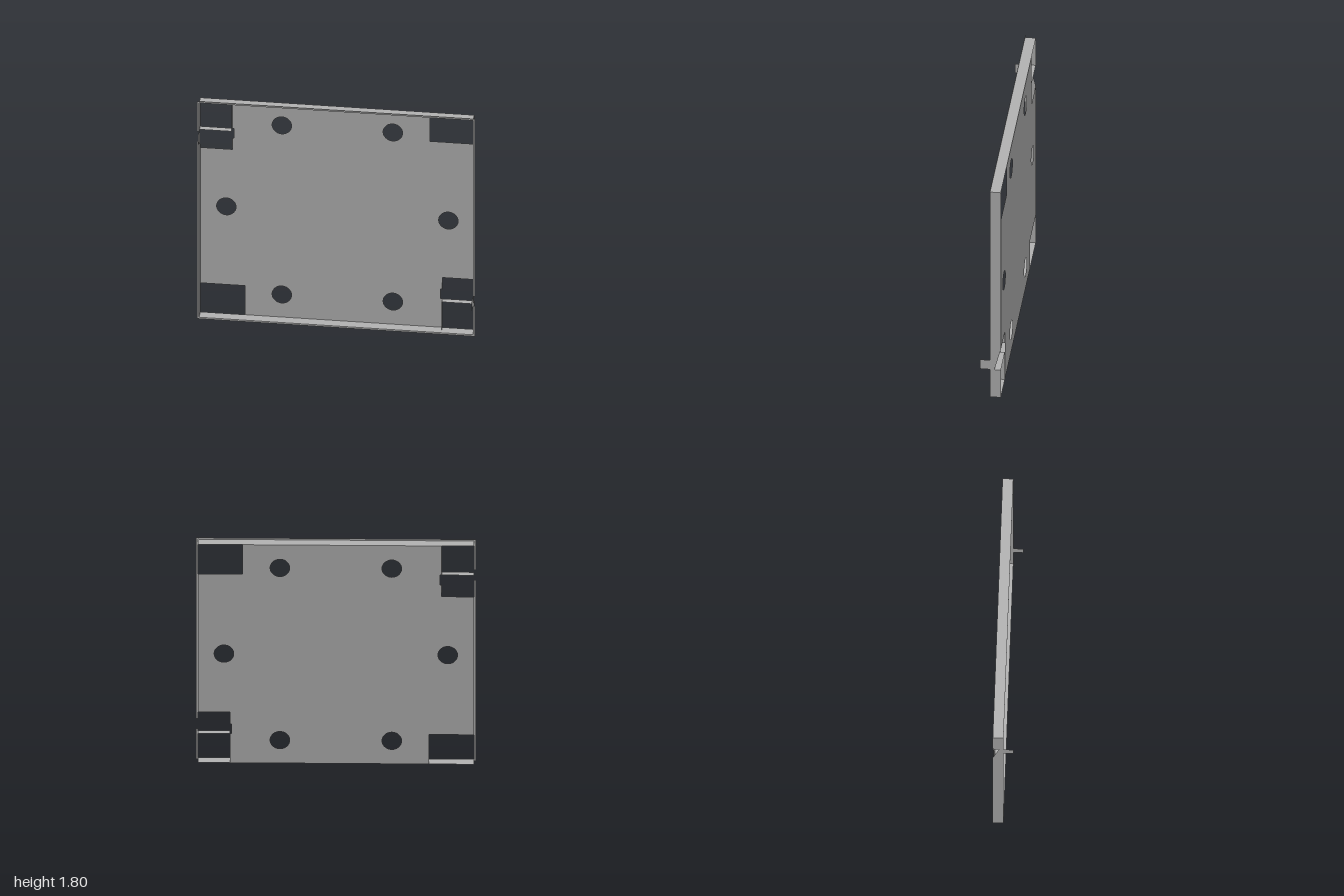
import * as THREE from 'three';

// Thin sheet-metal tray: everything is built around the panel's centre (0, 0),
// and the rim, walls and latch are made once and repeated by a half turn.
const W = 0.987, H = 0.887;          // walls
const OUT_X = 1, OUT_Y = 0.9;        // rim outer edge
const BACK = -0.074, FRONT = 0.003, TAB = 0.074, STEP = -0.028;
const Y_BAR = -0.65, Y_SLOT = -0.57, Y_CUT = -0.475, X_CUT = 0.757;

export function createModel() {
  const metal = new THREE.MeshStandardMaterial({ color: 0xb2b2b2, side: THREE.DoubleSide });
  metal.name = 'grey sheet metal';

  const outline = (pts) => new THREE.Shape(pts.map(([a, b]) => new THREE.Vector2(a, b)));
  const rect = (a0, b0, a1, b1) => outline([[a0, b0], [a1, b0], [a1, b1], [a0, b1]]);
  const add = (parent, name, geometry) => {
    const mesh = new THREE.Mesh(geometry, metal);
    mesh.name = name;
    parent.add(mesh);
  };
  // Sheets facing z, x (profile given as z, y) and y (profile given as x, z)
  const sheetZ = (shape, z) => new THREE.ShapeGeometry(shape, 32).translate(0, 0, z);
  const sheetX = (shape, x) => new THREE.ShapeGeometry(shape).rotateY(-Math.PI / 2).translate(x, 0, 0);
  const sheetY = (shape, y) => new THREE.ShapeGeometry(shape).rotateX(Math.PI / 2).translate(0, y, 0);

  const model = new THREE.Group();
  model.name = 'panel';
  const body = new THREE.Group();
  body.name = 'panelBody';
  body.position.y = 0.9;
  model.add(body);

  // Back plate with four corner cutouts and six round holes
  const edge = [
    [-0.667, -H], [X_CUT, -H], [X_CUT, Y_BAR], [0.745, Y_BAR],
    [0.745, Y_SLOT], [X_CUT, Y_SLOT], [X_CUT, Y_CUT], [W, Y_CUT],
    [W, 0.647], [0.667, 0.647],
  ];
  const plate = outline([...edge, ...edge.map(([x, y]) => [-x, -y])]);
  for (const [x, y] of [[-0.4, 0.7], [0.4, 0.7], [-0.8, 0], [0.8, 0], [-0.4, -0.7], [0.4, -0.7]]) {
    plate.holes.push(new THREE.Path().absarc(x, y, 0.07, 0, Math.PI * 2, true));
  }
  add(body, 'backPlate', sheetZ(plate, BACK));

  for (let i = 0; i < 2; i++) {
    const half = new THREE.Group();
    half.name = i ? 'upperLatchHalf' : 'lowerLatchHalf';
    half.rotation.z = i * Math.PI;
    body.add(half);

    // Long edge walls; the side wall tapers above the pocket and carries the tab
    add(half, 'endWall', sheetY(rect(-W, BACK, W, FRONT), -H));
    add(half, 'sideWall', sheetX(outline([
      [BACK, -H], [FRONT, -H], [FRONT, Y_BAR], [TAB, Y_BAR], [TAB, Y_SLOT],
      [FRONT, Y_SLOT], [FRONT, H], [BACK, H], [BACK, Y_CUT], [STEP, Y_BAR], [BACK, Y_BAR],
    ]), W));

    // Narrow outward rim, interrupted at the tab
    add(half, 'endRim', sheetZ(rect(-OUT_X, -OUT_Y, OUT_X, -H), FRONT));
    add(half, 'lowerSideRim', sheetZ(rect(W, -H, OUT_X, Y_BAR), FRONT));
    add(half, 'upperSideRim', sheetZ(rect(W, Y_SLOT, OUT_X, H), FRONT));

    // Corner pocket walls and the small sloped web beside the opening
    add(half, 'pocketSide', sheetX(rect(BACK, -H, STEP, Y_BAR), X_CUT));
    add(half, 'pocketBar', sheetY(rect(X_CUT, BACK, W, STEP), Y_BAR));
    add(half, 'slopedWeb', sheetX(outline([[BACK, Y_SLOT], [-0.049, Y_SLOT], [BACK, Y_CUT]]), X_CUT));
  }
  return model;
}
